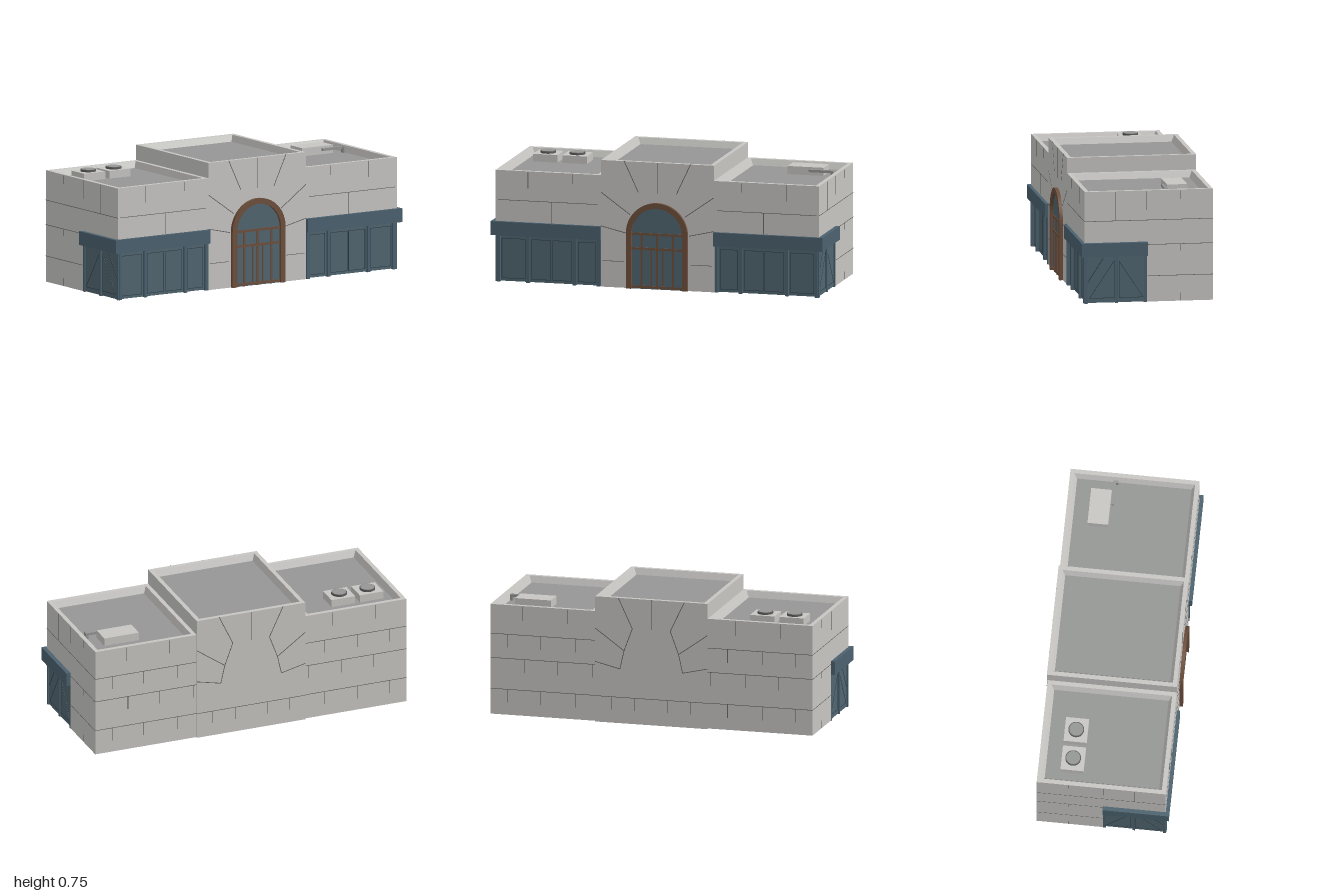
import * as THREE from 'three';

const mat = (name, color, extra = {}) => {
  const m = new THREE.MeshStandardMaterial({ color, ...extra });
  m.name = name;
  return m;
};

export function createModel() {
  const root = new THREE.Group();
  root.name = 'building';
  const stone = mat('pale stone', 0xc6c5c2);
  const roofGrey = mat('roof grey', 0x949694);
  const blue = mat('slate blue trim', 0x4b616e);
  const glass = mat('blue glass', 0x50656f);
  const brown = mat('brown frame', 0x6d4f3c);
  const joint = mat('dark joint', 0x5c5d5b);
  const navy = mat('dark blue seam', 0x2c3c47);

  const add = (parent, name, geo, material) => {
    const m = new THREE.Mesh(geo, material);
    m.name = name;
    parent.add(m);
    return m;
  };
  // Box from its minimum and maximum on each axis
  const box = (parent, name, material, x0, x1, y0, y1, z0, z1) => {
    const m = add(parent, name, new THREE.BoxGeometry(Math.abs(x1 - x0), y1 - y0, z1 - z0), material);
    m.position.set((x0 + x1) / 2, (y0 + y1) / 2, (z0 + z1) / 2);
    return m;
  };
  // Thin strip between two points in a wall plane
  const strip = (parent, name, material, ax, ay, bx, by, w = 0.004, d = 0.002) => {
    const m = add(parent, name, new THREE.BoxGeometry(Math.hypot(bx - ax, by - ay), w, d), material);
    m.position.set((ax + bx) / 2, (ay + by) / 2, 0);
    m.rotation.z = Math.atan2(by - ay, bx - ax);
  };
  // Group lying on a wall, local x along it and local z outward
  const face = (name, x, z, turn) => {
    const g = new THREE.Group();
    g.name = name;
    g.position.set(x, 0, z);
    g.rotation.y = turn;
    root.add(g);
    return g;
  };
  // Recessed roof: deck with a parapet whose inner faces lean outward
  const roof = (name, x0, x1, z0, z1, top, deck, rim, slope) => {
    const g = new THREE.Group();
    g.name = name;
    const ring = (i, y) => [[x0 + i, y, z1 - i], [x1 - i, y, z1 - i], [x1 - i, y, z0 + i], [x0 + i, y, z0 + i]];
    const rings = [ring(0, deck), ring(0, top), ring(rim, top), ring(rim + slope, deck)];
    const pos = [];
    for (let r = 0; r < 3; r++) {
      for (let i = 0; i < 4; i++) {
        const j = (i + 1) % 4, a = rings[r][i], b = rings[r][j], c = rings[r + 1][j], d = rings[r + 1][i];
        pos.push(...a, ...b, ...c, ...a, ...c, ...d);
      }
    }
    const geo = new THREE.BufferGeometry();
    geo.setAttribute('position', new THREE.Float32BufferAttribute(pos, 3));
    geo.computeVertexNormals();
    add(g, 'parapet', geo, stone);
    const e = rim + slope;
    box(g, 'roofDeck', roofGrey, x0 + e, x1 - e, deck, deck + 0.003, z0 + e, z1 - e);
    root.add(g);
  };

  // Central block
  box(root, 'centralBlock', stone, -0.34, 0.34, 0, 0.71, -0.39, 0.37);
  roof('centralRoof', -0.34, 0.34, -0.39, 0.37, 0.75, 0.71, 0.025, 0.018);

  // Side wings with corner shopfronts
  for (const s of [-1, 1]) {
    const X = (v) => s * v;
    const side = s > 0 ? 'left' : 'right';
    box(root, side + 'WingRear', stone, X(0.34), X(0.975), 0.003, 0.62, -0.385, 0.004);
    box(root, side + 'WingUpperFront', stone, X(0.34), X(0.975), 0.29, 0.62, 0.004, 0.37);
    roof(side + 'WingRoof', Math.min(X(0.34), X(0.975)), Math.max(X(0.34), X(0.975)), -0.385, 0.37, 0.66, 0.62, 0.025, 0.018);
    box(root, side + 'Shopfront', glass, X(0.34), X(0.967), 0.003, 0.29, 0.004, 0.358);
    box(root, side + 'Band', blue, X(0.34), X(1), 0.277, 0.358, 0.002, 0.39);

    // Underside floor panel with clipped corners
    const f = new THREE.Shape([[0.385, -0.35], [0.93, -0.35], [0.95, -0.33], [0.95, 0.32], [0.93, 0.34],
      [0.385, 0.34], [0.365, 0.32], [0.365, -0.33]].map(([x, z]) => new THREE.Vector2(X(x), z)));
    const floor = add(root, side + 'Floor', new THREE.ExtrudeGeometry(f, { depth: 0.003, bevelEnabled: false }), blue);
    floor.rotation.x = Math.PI / 2;
    floor.position.y = 0.003;

    // Front mullions and panel seams
    for (const x of [0.355, 0.5, 0.78, 0.957]) box(root, 'mullion', blue, X(x - 0.01), X(x + 0.01), 0, 0.28, 0.35, 0.374);
    const panes = face(side + 'PaneSeams', 0, 0.3585, 0);
    for (const [a, b] of [[0.375, 0.48], [0.52, 0.635], [0.645, 0.76], [0.8, 0.94]]) {
      for (const y of [0.02, 0.255]) strip(panes, 'paneSeam', navy, X(a), y, X(b), y, 0.003);
      for (const x of [a, b]) strip(panes, 'paneSeam', navy, X(x), 0.02, X(x), 0.255, 0.003);
    }

    // Side panes with triangular bracing
    for (const z of [0.012, 0.183, 0.362]) {
      box(root, 'sideMullion', blue, X(0.955), X(0.975), 0, 0.28, z - 0.008, z + 0.008);
    }
    const brace = face(side + 'Bracing', X(0.9675), 0, s * Math.PI / 2);
    for (const t of [[[0.34, 0.03], [0.194, 0.03], [0.194, 0.25]], [[0.025, 0.03], [0.166, 0.03], [0.166, 0.245]]]) {
      t.forEach((p, i) => {
        const q = t[(i + 1) % 3];
        strip(brace, 'braceSeam', navy, -s * p[0], p[1], -s * q[0], q[1], 0.003);
      });
    }
    strip(brace, 'braceSeam', navy, -s * 0.35, 0.125, -s * 0.26, 0.265, 0.004);

    // Stone joints on the outer side wall
    const wall = face(side + 'SideJoints', X(0.975), 0, s * Math.PI / 2);
    const across = (z0, z1, y) => strip(wall, 'course', joint, -s * z0, y, -s * z1, y, 0.003);
    const upright = (z, y0, y1) => strip(wall, 'upright', joint, -s * z, y0, -s * z, y1, 0.003);
    across(-0.385, 0.37, 0.485);
    across(-0.385, 0.0, 0.34);
    across(-0.385, 0.0, 0.155);
    upright(0.19, 0.485, 0.655);
    upright(0.006, 0.545, 0.655);
    upright(-0.197, 0.605, 0.655);
    upright(-0.197, 0.3, 0.34);
    upright(-0.197, 0.005, 0.05);

    // Stone joints on the wing front and back
    const front = face(side + 'FrontJoints', 0, 0.37, 0);
    strip(front, 'course', joint, X(0.36), 0.485, X(0.96), 0.485, 0.003);
    for (const [x, y0, y1] of [[0.51, 0.6, 0.655], [0.78, 0.56, 0.655], [0.64, 0.36, 0.485]]) {
      strip(front, 'upright', joint, X(x), y0, X(x), y1, 0.003);
    }
    const back = face(side + 'BackJoints', 0, -0.385, Math.PI);
    [0.155, 0.34, 0.485].forEach((y, i) => {
      strip(back, 'course', joint, X(0.34), y, X(0.975), y, 0.003);
      const shift = i % 2 ? 0.1 : 0;
      for (const x of [0.46, 0.67, 0.87]) strip(back, 'upright', joint, X(x - shift), y, X(x - shift), y - 0.08, 0.003);
    });
    for (const x of [0.51, 0.78]) strip(back, 'upright', joint, X(x), 0.57, X(x), 0.655, 0.003);
  }

  // Radiating joints on the front and back of the central block
  for (const [name, z, turn] of [['frontRays', 0.37, 0], ['backRays', -0.39, Math.PI]]) {
    const g = face(name, 0, z, turn);
    strip(g, 'ray', joint, 0, 0.57, 0, 0.75);
    for (const s of [-1, 1]) {
      strip(g, 'ray', joint, s * 0.115, 0.57, s * 0.2, 0.75);
      strip(g, 'ray', joint, s * 0.165, 0.435, s * 0.34, 0.56);
      strip(g, 'ray', joint, s * 0.19, 0.325, s * 0.34, 0.36);
      if (turn) {
        strip(g, 'keyEdge', joint, s * 0.115, 0.57, s * 0.165, 0.435);
        strip(g, 'keyEdge', joint, s * 0.165, 0.435, s * 0.19, 0.325);
        for (const x of [0.1, 0.24]) strip(g, 'upright', joint, s * x, 0.08, s * x, 0.155, 0.003);
      } else strip(g, 'course', joint, s * 0.2, 0.155, s * 0.33, 0.155, 0.003);
    }
    if (turn) strip(g, 'course', joint, -0.34, 0.155, 0.34, 0.155, 0.003);
  }

  // Arched entrance
  const arch = (r, y) => {
    const s = new THREE.Shape();
    s.moveTo(-r, 0);
    s.lineTo(r, 0);
    s.lineTo(r, y);
    s.absarc(0, y, r, 0, Math.PI, false);
    s.lineTo(-r, 0);
    return s;
  };
  const Y = 0.327, R = 0.185, r = 0.153;
  const frame = new THREE.Shape();
  frame.moveTo(r, 0);
  frame.lineTo(R, 0);
  frame.lineTo(R, Y);
  frame.absarc(0, Y, R, 0, Math.PI, false);
  frame.lineTo(-R, 0);
  frame.lineTo(-r, 0);
  frame.lineTo(-r, Y);
  frame.absarc(0, Y, r, Math.PI, 0, true);
  frame.lineTo(r, 0);
  const door = face('archedEntrance', 0, 0.365, 0);
  add(door, 'archFrame', new THREE.ExtrudeGeometry(frame, { depth: 0.025, bevelEnabled: false, curveSegments: 20 }), brown);
  add(door, 'archGlass', new THREE.ExtrudeGeometry(arch(0.156, Y), { depth: 0.008, bevelEnabled: false, curveSegments: 20 }), glass);
  const bars = face('glazingBars', 0, 0.3745, 0);
  for (const y of [0.238, 0.325]) strip(bars, 'glazingBar', brown, -r, y, r, y, 0.014, 0.006);
  strip(bars, 'glazingBar', brown, -r, 0.012, r, 0.012, 0.014, 0.006);
  for (const s of [-1, 1]) {
    strip(bars, 'glazingBar', brown, s * 0.095, 0, s * 0.095, 0.325, 0.012, 0.006);
    strip(bars, 'glazingBar', brown, s * 0.035, 0.02, s * 0.035, 0.238, 0.008, 0.006);
  }
  strip(bars, 'glazingBar', brown, 0, 0, 0, 0.325, 0.012, 0.006);

  // Rooftop fan units
  for (const x of [-0.81, -0.633]) {
    box(root, 'fanUnit', stone, x - 0.074, x + 0.074, 0.62, 0.668, -0.255, -0.12);
    for (const [name, rad, h, m] of [['fanCollar', 0.046, 0.012, joint], ['fanCover', 0.041, 0.014, roofGrey]]) {
      add(root, name, new THREE.CylinderGeometry(rad, rad, h, 20), m).position.set(x, 0.668 + h / 2, -0.188);
    }
  }
  // Rooftop vent box with its pipe
  box(root, 'ventBox', stone, 0.648, 0.865, 0.62, 0.671, -0.253, -0.133);
  box(root, 'ventPipe', roofGrey, 0.78, 0.93, 0.645, 0.66, -0.128, -0.112);
  box(root, 'ventPipeLeg', roofGrey, 0.915, 0.93, 0.62, 0.66, -0.128, -0.1);
  return root;
}
